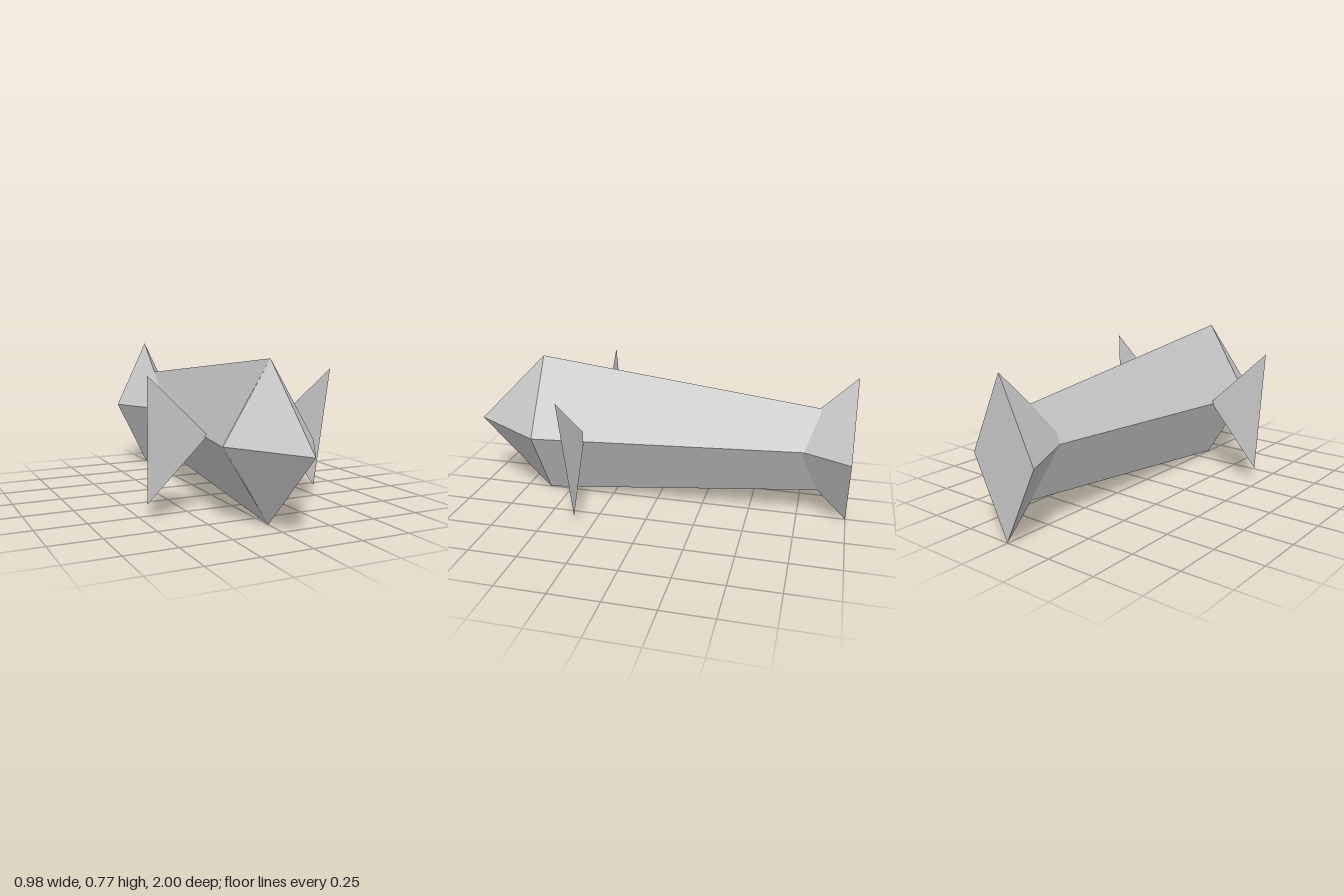
import * as THREE from 'three';

const MID = 0.385; // height of the side ridges
const CENTRE = 0.002; // x of the top and bottom ridges
const NECK = 0.618; // z where head and body meet

const material = new THREE.MeshStandardMaterial({ color: 0xcccccc, flatShading: true });
const bodyMaterial = new THREE.MeshStandardMaterial({ color: 0xcccccc });
const finMaterial = new THREE.MeshStandardMaterial({ color: 0xcccccc, flatShading: true, side: THREE.DoubleSide });

// Four-sided pyramid with a diamond base, pointing forward
function pyramid(name, halfWidth, halfHeight, baseZ, tipZ) {
  const length = tipZ - baseZ;
  const geometry = new THREE.ConeGeometry(1, length, 4);
  geometry.rotateX(Math.PI / 2);
  geometry.scale(halfWidth, halfHeight, 1);
  geometry.translate(CENTRE, MID, baseZ + length / 2);
  const mesh = new THREE.Mesh(geometry, material);
  mesh.name = name;
  return mesh;
}

// Diamond cross-section: left, top, right and bottom corners
function diamond(left, top, right, bottom, z) {
  return [[left, MID], [CENTRE, top], [right, MID], [CENTRE, bottom]]
    .map(([x, y]) => new THREE.Vector3(x, y, z));
}

// Tapering body: four slightly twisted sides, each shaded as one face
function makeBody() {
  const front = diamond(0.238, 0.768, -0.237, 0.002, NECK);
  const rear = diamond(0.061, 0.59, -0.004, 0.159, -0.9);
  const points = [], normals = [];
  for (let i = 0; i < 4; i++) {
    const j = (i + 1) % 4;
    points.push(front[i], rear[j], front[j], front[i], rear[i], rear[j]);
    const normal = rear[j].clone().sub(front[i]).cross(front[j].clone().sub(rear[i])).normalize();
    for (let k = 0; k < 6; k++) normals.push(...normal.toArray());
  }
  const geometry = new THREE.BufferGeometry().setFromPoints(points);
  geometry.setAttribute('normal', new THREE.Float32BufferAttribute(normals, 3));
  const mesh = new THREE.Mesh(geometry, bodyMaterial);
  mesh.name = 'body';
  return mesh;
}

// Flat triangular side fin
function fin(name, root, top, bottom) {
  const geometry = new THREE.BufferGeometry().setFromPoints(
    [root, bottom, top].map((c) => new THREE.Vector3(...c)));
  geometry.computeVertexNormals();
  const mesh = new THREE.Mesh(geometry, finMaterial);
  mesh.name = name;
  return mesh;
}

export function createModel() {
  const fish = new THREE.Group();
  fish.name = 'fish';
  fish.add(
    pyramid('head', 0.236, 0.383, NECK, 1),
    makeBody(),
    pyramid('tailFin', 0.187, 0.383, -1, -0.615),
    fin('leftFin', [0.167, 0.412, 0.347], [0.492, 0.69, 0.37], [0.44, 0.08, 0.32]),
    fin('rightFin', [-0.18, 0.391, 0.347], [-0.492, 0.69, 0.37], [-0.479, 0.08, 0.32]),
  );
  return fish;
}
